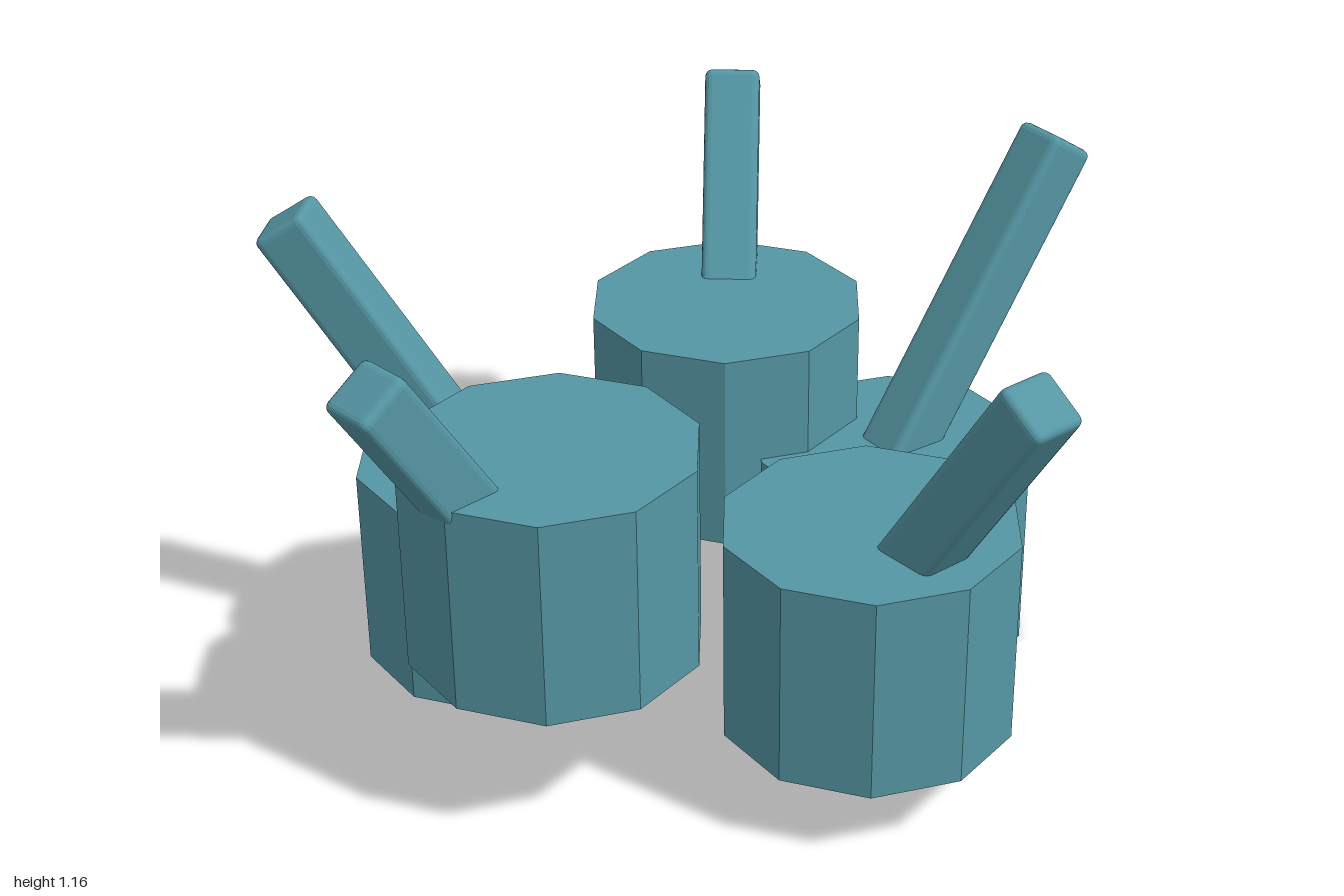
import * as THREE from 'three';
import { RoundedBoxGeometry } from 'three/addons/geometries/RoundedBoxGeometry.js';

const TILT = 0.58; // outward lean of every bar

export function createModel() {
  const model = new THREE.Group();
  const material = new THREE.MeshStandardMaterial({ color: 0x5596a4, flatShading: true });

  // Shared shapes: ten-sided drum and soft-edged square bar
  const drumGeometry = new THREE.CylinderGeometry(0.324, 0.324, 0.475, 10);
  const barGeometry = new RoundedBoxGeometry(0.13, 1.0, 0.13, 2, 0.017);

  // drum: centre x, bottom y, centre z; bar: centre x, z and lean direction x, z
  const pieces = [
    { name: 'left', drum: [0.49, 0, -0.087], bar: [0.674, -0.09], lean: [1, 0] },
    { name: 'front', drum: [0.04, 0.177, 0.4], bar: [0.056, 0.592], lean: [0.08, 1] },
    { name: 'right', drum: [-0.495, 0.35, 0], bar: [-0.676, 0.03], lean: [-0.988, 0.155] },
    { name: 'backRight', drum: [-0.37, 0.088, -0.428], bar: [-0.5, -0.543], lean: [-0.737, -0.676] },
    { name: 'backLeft', drum: [0.298, 0.262, -0.487], bar: [0.4, -0.62], lean: [0.608, -0.794] },
  ];

  for (const { name, drum, bar, lean } of pieces) {
    const piece = new THREE.Group();
    piece.name = name + 'Piece';

    // Upright drum
    const drumMesh = new THREE.Mesh(drumGeometry, material);
    drumMesh.name = name + 'Drum';
    drumMesh.position.set(drum[0], drum[1] + 0.2375, drum[2]);

    // Bar passing through the drum, leaning outward
    const barMesh = new THREE.Mesh(barGeometry, material);
    barMesh.name = name + 'Bar';
    barMesh.position.set(bar[0], 0.708, bar[1]);
    barMesh.rotation.set(TILT, Math.atan2(lean[0], lean[1]), 0, 'YXZ');

    piece.add(drumMesh, barMesh);
    model.add(piece);
  }
  return model;
}
